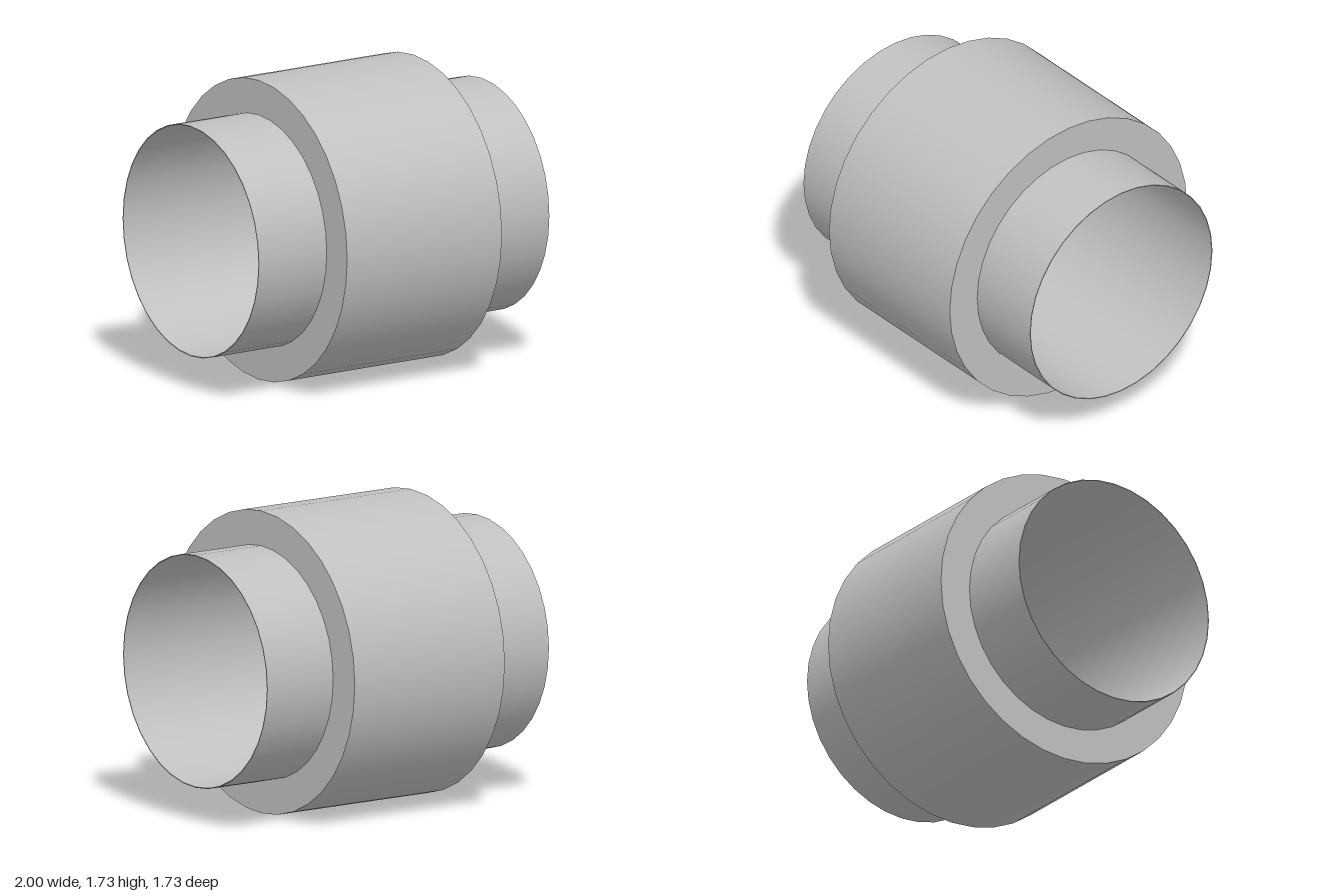
import * as THREE from 'three';
import { mergeGeometries } from 'three/addons/utils/BufferGeometryUtils.js';

const SIDES = 36;
const PIPE_OUTER = 0.667, PIPE_INNER = 0.662, PIPE_HALF = 1;
const SLEEVE_OUTER = 0.867, SLEEVE_HALF = 0.533;

// Revolves each profile segment separately: smooth around, sharp at the rims.
function revolve(profile) {
  const bands = [];
  for (let i = 0; i < profile.length - 1; i++) {
    const ends = [profile[i], profile[i + 1]].map(([r, h]) => new THREE.Vector2(r, h));
    bands.push(new THREE.LatheGeometry(ends, SIDES));
  }
  return mergeGeometries(bands).rotateZ(-Math.PI / 2);
}

export function createModel() {
  const grey = new THREE.MeshStandardMaterial({ color: 0xc0c0c0 });
  grey.name = 'light grey';
  const group = new THREE.Group();
  group.name = 'pipeCoupling';

  const add = (name, profile) => {
    const mesh = new THREE.Mesh(revolve(profile), grey);
    mesh.name = name;
    mesh.position.y = SLEEVE_OUTER;
    group.add(mesh);
  };

  // Thin-walled pipe, open at both ends
  add('innerPipe', [
    [PIPE_INNER, -PIPE_HALF], [PIPE_OUTER, -PIPE_HALF],
    [PIPE_OUTER, PIPE_HALF], [PIPE_INNER, PIPE_HALF], [PIPE_INNER, -PIPE_HALF],
  ]);

  // Thick sleeve around the middle, seated on the pipe
  add('outerSleeve', [
    [PIPE_OUTER, -SLEEVE_HALF], [SLEEVE_OUTER, -SLEEVE_HALF],
    [SLEEVE_OUTER, SLEEVE_HALF], [PIPE_OUTER, SLEEVE_HALF],
  ]);

  return group;
}
